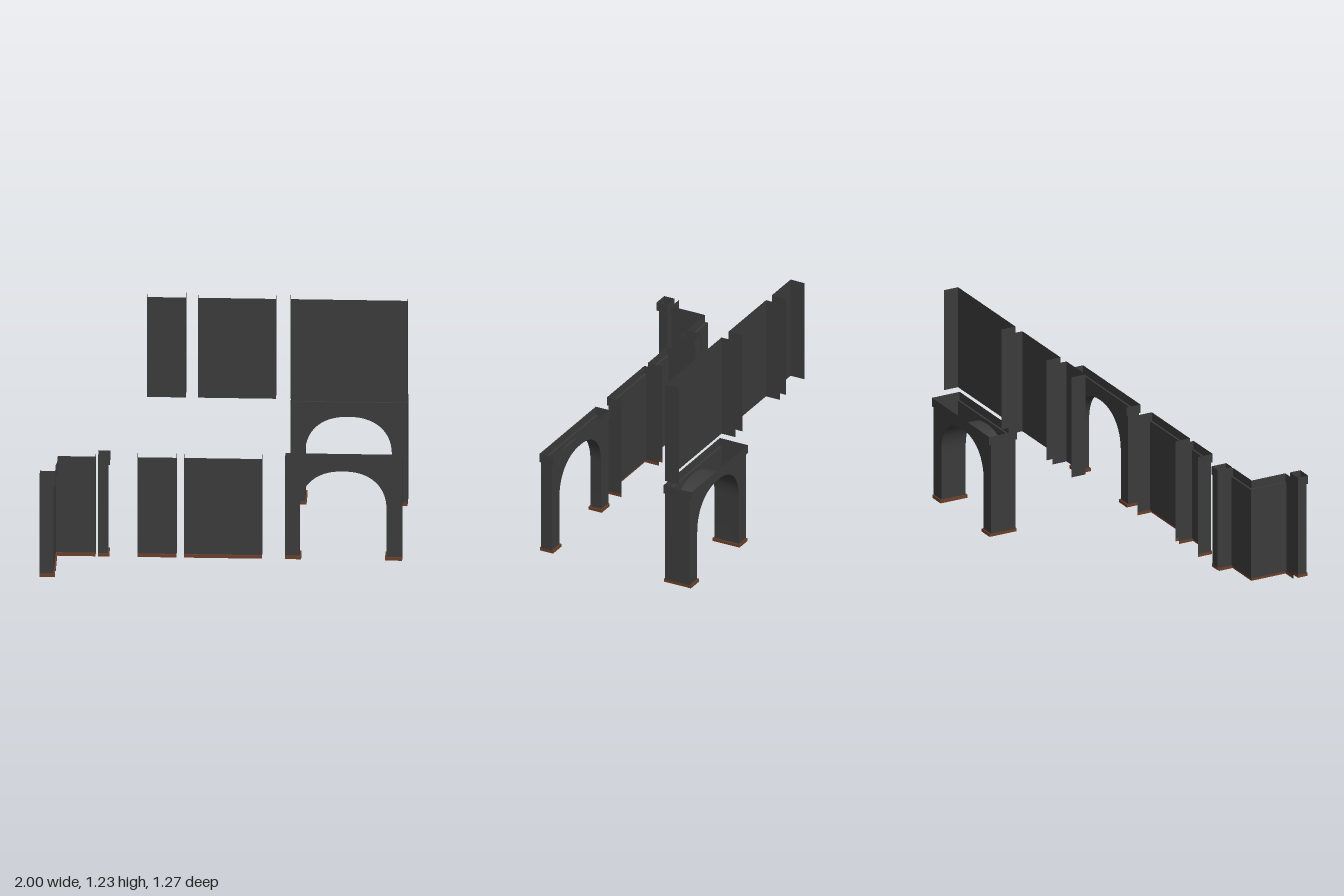
import * as THREE from 'three';

const stone = new THREE.MeshStandardMaterial({ color: 0x3b3b3b, side: THREE.DoubleSide });
stone.name = 'dark grey wall';
const brown = new THREE.MeshStandardMaterial({ color: 0x6b4029, side: THREE.DoubleSide });
brown.name = 'brown skirting';

// Profiles as [outward offset, height]
const SKIRT = [[0.008, 0], [0.008, 0.018], [0, 0.018]];
const BODY = [[0, 0.018], [0, 0.55]];
const CORNICE = [[0, 0.55], [0.011, 0.55], [0.011, 0.6]];
const PANEL = [[0, 0.63], [0, 1.23]];

function addMesh(group, name, geometry, material) {
  const mesh = new THREE.Mesh(geometry, material);
  mesh.name = name;
  group.add(mesh);
}

// Skin between rows of points; smooth or faceted
function loft(rows, smooth = false) {
  const n = rows[0].length;
  const index = [];
  for (let r = 0; r < rows.length - 1; r++) {
    for (let i = 0; i < n - 1; i++) {
      const a = r * n + i;
      index.push(a, a + 1, a + n + 1, a, a + n + 1, a + n);
    }
  }
  let g = new THREE.BufferGeometry();
  g.setAttribute('position', new THREE.Float32BufferAttribute(rows.flat(2), 3));
  g.setIndex(index);
  if (!smooth) g = g.toNonIndexed();
  g.computeVertexNormals();
  return g;
}

// Raise a profile along a plan of [x, z, offsetX, offsetZ] corners
function sweep(plan, profile, closed = false) {
  const path = closed ? [...plan, plan[0]] : plan;
  return loft(profile.map(([d, y]) => path.map(([x, z, ox, oz]) => [x + ox * d, y, z + oz * d])));
}

function wallModule(name, plan, closed = false) {
  const g = new THREE.Group();
  g.name = name;
  addMesh(g, 'skirting', sweep(plan, SKIRT, closed), brown);
  addMesh(g, 'wallBody', sweep(plan, BODY, closed), stone);
  addMesh(g, 'cornice', sweep(plan, CORNICE, closed), stone);
  return g;
}

// Straight run with a return at each end
const straight = (x0, x1, front, back) => [
  [x0, back, 0, 0], [x0, front, 0, 1], [x1, front, 0, 1], [x1, back, 0, 0],
];

function archModule(name, back, front) {
  const g = new THREE.Group();
  g.name = name;
  const x0 = 0.35, x1 = 1, left = 0.432, right = 0.913, spring = 0.3, apex = 0.528;
  const mid = (left + right) / 2, half = (right - left) / 2;

  // Opening outline: upright jambs and a broad curved head
  const curve = [];
  for (let i = 0; i <= 28; i++) {
    const t = Math.PI * (1 - i / 28), c = Math.cos(t), s = Math.max(0, Math.sin(t));
    curve.push([
      mid + half * Math.sign(c) * Math.pow(Math.abs(c), 0.88),
      spring + (apex - spring) * Math.pow(s, 0.88),
    ]);
  }
  const opening = [[left, 0.018], ...curve, [right, 0.018]];
  const outline = [[x0, 0.018], ...opening, [x1, 0.018], [x1, 0.55], [x0, 0.55]];
  const shape = new THREE.Shape(outline.map(([x, y]) => new THREE.Vector2(x, y)));

  const frontFace = new THREE.ShapeGeometry(shape);
  frontFace.translate(0, 0, front);
  addMesh(g, 'archFront', frontFace, stone);
  const backFace = new THREE.ShapeGeometry(shape);
  backFace.rotateY(Math.PI);
  backFace.translate(x0 + x1, 0, back);
  // Rotation mirrors the face about its own centre; the opening is shifted back in line
  const shift = (left + right) - (x0 + x1);
  const p = backFace.attributes.position;
  for (let i = 0; i < p.count; i++) {
    const x = p.getX(i);
    if (x > x0 + 1e-4 && x < x1 - 1e-4) p.setX(i, x + shift);
  }
  addMesh(g, 'archBack', backFace, stone);
  addMesh(g, 'archSoffit', loft([back, front].map(z => opening.map(([x, y]) => [x, y, z])), true), stone);

  // End walls
  for (const x of [x0, x1]) {
    addMesh(g, 'archEnd', loft([0.018, 0.55].map(y => [[x, y, back], [x, y, front]])), stone);
  }
  // Skirting wraps the inner side of each pier
  for (const [outer, inner, s] of [[x0, left, 1], [x1, right, -1]]) {
    const pier = [[outer, back, 0, -1], [inner, back, s, -1], [inner, front, s, 1], [outer, front, 0, 1]];
    addMesh(g, 'pierSkirting', sweep(pier, SKIRT, true), brown);
  }
  const top = [[x0, back, 0, -1], [x1, back, 0, -1], [x1, front, 0, 1], [x0, front, 0, 1]];
  addMesh(g, 'cornice', sweep(top, CORNICE, true), stone);
  return g;
}

export function createModel() {
  const model = new THREE.Group();
  model.name = 'modularWallSet';

  // Lower straight walls
  model.add(wallModule('narrowWall', straight(-0.468, -0.252, 0.316, 0.235)));
  model.add(wallModule('wideWall', straight(-0.21, 0.222, 0.316, 0.235)));

  // Inside corner wall
  model.add(wallModule('insideCornerWall', [
    [-0.7, 0.235, 0, 0], [-0.7, 0.316, 0, 1], [-0.92, 0.316, 1, 1], [-0.92, 0.541, 1, 0], [-1, 0.541, 0, 0],
  ]));

  // Corner posts
  const post = (x0, x1, front, back) => [
    [x0, back, 0, 0], [x0, front, 0, 1], [x1, front, 1, 1], [x1, back, 1, 0],
  ];
  model.add(wallModule('rearCornerPost', post(-0.686, -0.632, 0.316, 0.235), true));
  model.add(wallModule('frontCornerPost', post(-1, -0.922, 0.624, 0.57), true));

  // Arches
  model.add(archModule('thinArch', 0.248, 0.316));
  model.add(archModule('deepArch', -0.623, -0.468));

  // Plain upper panels
  for (const [name, x0, x1] of [
    ['narrowUpperPanel', -0.445, -0.23], ['mediumUpperPanel', -0.162, 0.27], ['wideUpperPanel', 0.35, 1],
  ]) {
    addMesh(model, name, sweep(straight(x0, x1, -0.468, -0.557), PANEL), stone);
  }
  return model;
}
